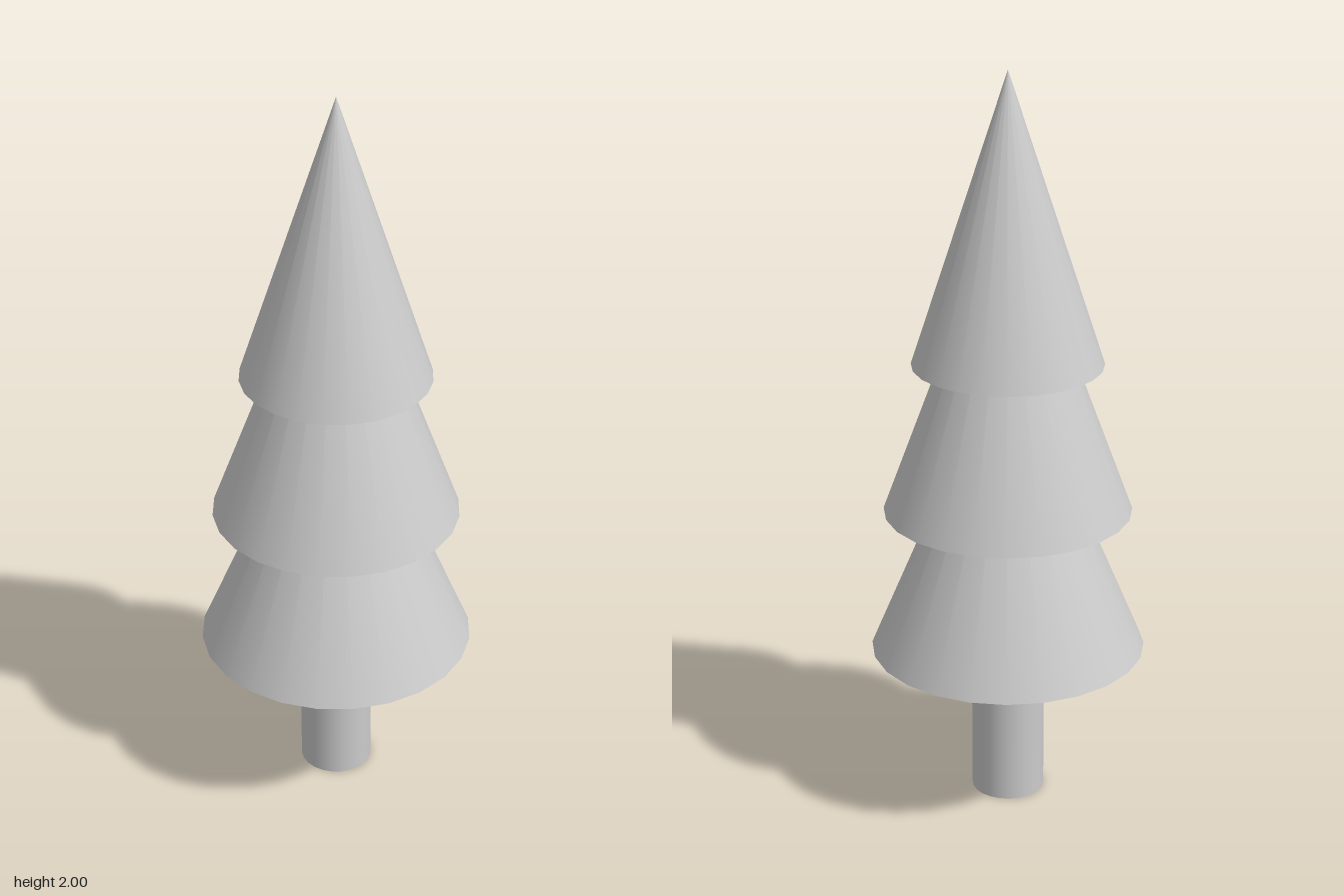
import * as THREE from 'three';

const SIDES = 24;

export function createModel() {
  const group = new THREE.Group();
  const material = new THREE.MeshStandardMaterial({ color: 0xcccccc });

  const add = (name, geometry, y) => {
    const mesh = new THREE.Mesh(geometry, material);
    mesh.name = name;
    mesh.position.y = y;
    group.add(mesh);
  };

  // Trunk, standing on the ground and ending just inside the lowest branches
  const trunkHeight = 0.45;
  add('trunk', new THREE.CylinderGeometry(0.098, 0.098, trunkHeight, SIDES), trunkHeight / 2);

  // Stacked foliage cones: each tip is hidden inside the cone above
  const tiers = [
    { name: 'lowerFoliage', base: 0.43, radius: 0.368, height: 0.87 },
    { name: 'middleFoliage', base: 0.825, radius: 0.33, height: 0.89 },
    { name: 'upperFoliage', base: 1.23, radius: 0.252, height: 0.77 },
  ];
  for (const { name, base, radius, height } of tiers) {
    add(name, new THREE.ConeGeometry(radius, height, SIDES), base + height / 2);
  }

  return group;
}
